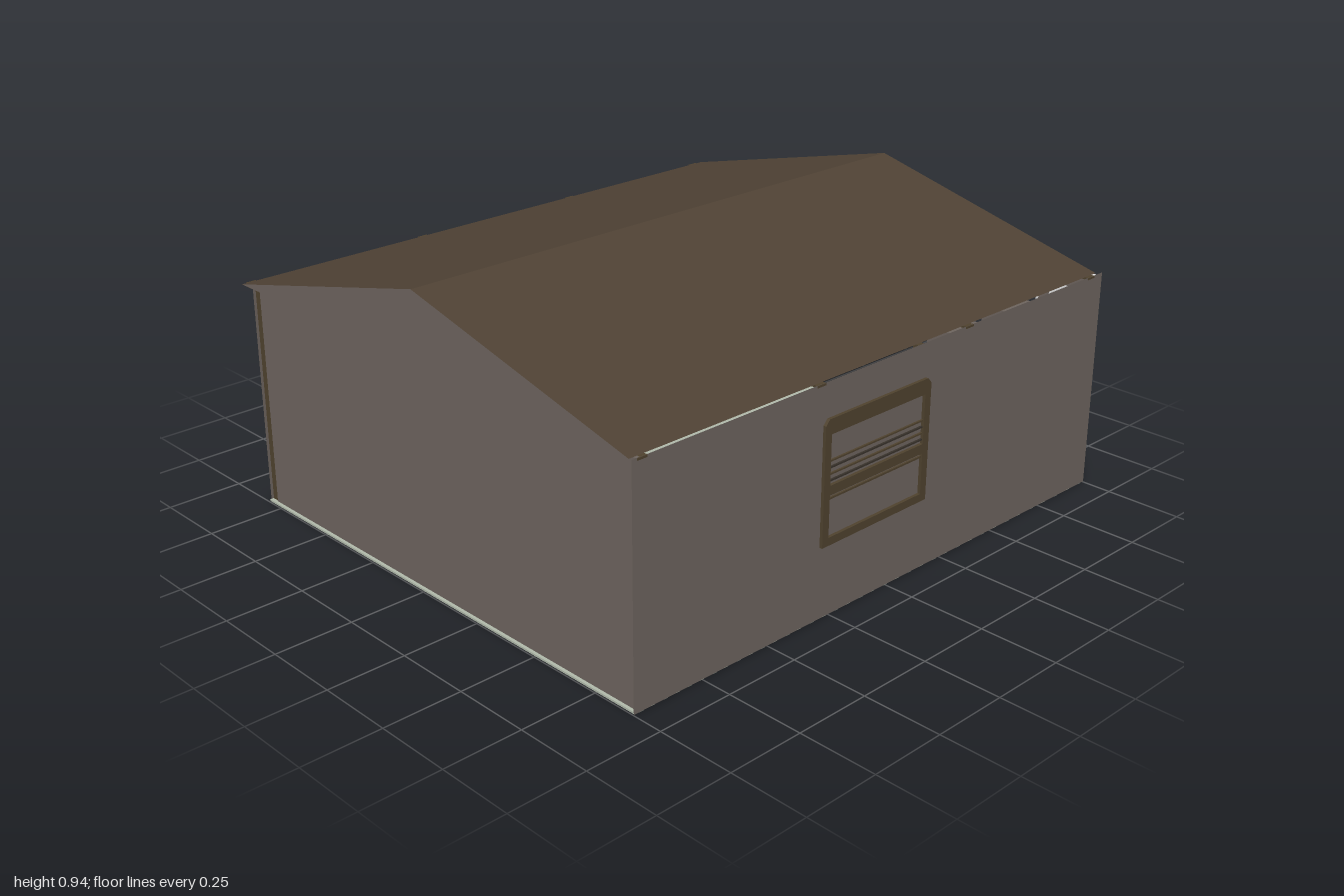
import * as THREE from 'three';

const M = (name, color, side = THREE.FrontSide) => {
  const m = new THREE.MeshStandardMaterial({ color, side });
  m.name = name;
  return m;
};

export function createModel() {
  const root = new THREE.Group();
  root.name = 'garage';
  const white = M('white', 0xe2e2e2), gray = M('wall gray', 0x6d645e, THREE.DoubleSide), roofBrown = M('roof brown', 0x4f4234),
    trim = M('trim brown', 0x4f422e), cork = M('cork', 0xac9e76), sage = M('sage', 0xb0b9aa, THREE.DoubleSide),
    blue = M('pale blue', 0xa8b7c0, THREE.DoubleSide), dark = M('dark', 0x38322b), tan = M('tan', 0xb69f6c);

  const group = (name) => {
    const g = new THREE.Group();
    g.name = name;
    root.add(g);
    return g;
  };
  const add = (parent, name, geo, mat) => {
    const m = new THREE.Mesh(geo, mat);
    m.name = name;
    parent.add(m);
    return m;
  };
  // box given by its limits on each axis
  const box = (p, name, mat, x0, x1, y0, y1, z0, z1) => {
    const m = add(p, name, new THREE.BoxGeometry(x1 - x0, y1 - y0, z1 - z0), mat);
    m.position.set((x0 + x1) / 2, (y0 + y1) / 2, (z0 + z1) / 2);
    return m;
  };
  const shapeOf = (pts) => new THREE.Shape(pts.map(([a, b]) => new THREE.Vector2(a, b)));
  // flat upright sheet of [x, y] points at depth z
  const sheet = (p, name, mat, shape, z) => {
    const m = add(p, name, new THREE.ShapeGeometry(shape), mat);
    m.position.z = z;
    return m;
  };
  // outline of [z, y] points extruded along x from x0 to x1
  const profile = (p, name, mat, pts, x0, x1) => {
    const g = new THREE.ExtrudeGeometry(shapeOf(pts.map(([z, y]) => [-z, y])), { depth: x1 - x0, bevelEnabled: false });
    g.rotateY(Math.PI / 2).translate(x0, 0, 0);
    return add(p, name, g, mat);
  };
  const rod = (p, name, mat, a, b, r) => {
    const A = new THREE.Vector3(...a), B = new THREE.Vector3(...b);
    const m = add(p, name, new THREE.CylinderGeometry(r, r, A.distanceTo(B), 6), mat);
    m.position.copy(A).add(B).multiplyScalar(0.5);
    m.quaternion.setFromUnitVectors(new THREE.Vector3(0, 1, 0), B.sub(A).normalize());
    return m;
  };
  // disc facing +x
  const disc = (p, name, mat, x, y, z, r, t = 0.01) => {
    const m = add(p, name, new THREE.CylinderGeometry(r, r, t, 20), mat);
    m.rotation.z = -Math.PI / 2;
    m.position.set(x, y, z);
    return m;
  };

  // floor, thin walls and gables
  const shell = group('shell');
  box(shell, 'floor', sage, -0.995, 0.985, 0, 0.006, -0.82, 0.898);
  sheet(shell, 'frontWall', gray, shapeOf([[-1, 0.002], [1, 0.002], [1, 0.725], [-1, 0.725]]), 0.9);
  const back = shapeOf([[-0.99, 0.006], [0.975, 0.006], [0.975, 0.732], [-0.99, 0.732]]);
  back.holes.push(shapeOf([[0.4, 0.22], [0.4, 0.57], [0.74, 0.57], [0.74, 0.22]]));
  sheet(shell, 'backWall', gray, back, -0.82);
  const apex = [[-0.79, 0.725], [-0.74, 0.725], [0.02, 0.915], [0.76, 0.725], [0.899, 0.725]];
  profile(shell, 'closedGable', gray, [[0.899, 0.005], [-0.79, 0.005], ...apex], -0.985, -0.972);
  profile(shell, 'doorGable', white, [[0.899, 0.005], [0.69, 0.005], [0.69, 0.675], [-0.575, 0.675],
    [-0.575, 0.005], [-0.79, 0.005], ...apex], 0.958, 0.97);
  for (const x of [-0.97, 0.95]) box(shell, 'cornerStud', trim, x - 0.012, x + 0.012, 0.006, 0.725, -0.818, -0.791);
  for (const [z0, z1] of [[0.705, 0.738], [-0.622, -0.585]])
    box(shell, 'doorTrack', gray, 0.95, 0.982, 0, 0.68, z0, z1);
  box(shell, 'doorLintel', gray, 0.935, 0.957, 0.676, 0.715, -0.79, 0.88);

  // pitched roof with gray end faces
  profile(group('roof'), 'roofSlabs', [gray, roofBrown], [[0.89, 0.725], [0.02, 0.938], [-0.865, 0.725],
    [-0.74, 0.725], [0.02, 0.912], [0.76, 0.725]], -1, 0.98);
  const rafters = group('rafters');
  for (const x of [-0.965, -0.31, 0.33, 0.94]) {
    profile(rafters, 'rafterPair', gray, [[0.76, 0.725], [0.02, 0.911], [-0.74, 0.725], [-0.74, 0.698],
      [0.02, 0.884], [0.76, 0.698]], x - 0.015, x + 0.015);
    box(rafters, 'backTail', trim, x - 0.017, x + 0.017, 0.712, 0.7245, -0.872, -0.74);
    box(rafters, 'frontTail', trim, x - 0.017, x + 0.017, 0.718, 0.7245, 0.76, 0.902);
  }

  // front window with chamfered frame and blinds
  const win = group('frontWindow');
  const frame = shapeOf([[-0.297, 0.23], [0.153, 0.23], [0.153, 0.6], [0.138, 0.617], [-0.282, 0.617], [-0.297, 0.6]]);
  for (const [a, b] of [[0.255, 0.385], [0.415, 0.57]])
    frame.holes.push(shapeOf([[-0.272, a], [-0.272, b], [0.128, b], [0.128, a]]));
  add(win, 'windowFrame', new THREE.ExtrudeGeometry(frame, { depth: 0.01, bevelEnabled: false }), trim).position.z = 0.9;
  for (let i = 0; i < 4; i++) box(win, 'blind', i % 2 ? trim : dark, -0.272, 0.128, 0.425 + i * 0.02, 0.43 + i * 0.02, 0.899, 0.906);
  box(win, 'lowerBlind', trim, -0.272, 0.128, 0.37, 0.376, 0.899, 0.906);

  // rear window frame
  const rear = group('rearWindow');
  for (const x of [0.4, 0.57, 0.74]) box(rear, 'upright', trim, x - 0.014, x + 0.014, 0.2, 0.59, -0.819, -0.785);
  for (const y of [0.215, 0.4, 0.575]) box(rear, 'crossbar', trim, 0.386, 0.754, y - 0.014, y + 0.014, -0.819, -0.787);

  // flat painted scenery sheet standing behind the rear window
  const scene = group('sceneryPanel');
  const cloudEdge = [[0.155, 0.255], [0.23, 0.28], [0.265, 0.33], [0.265, 0.5], [0.23, 0.54]];
  const skyEdge = [[0.495, 0.61], [0.495, 0.29], [0.53, 0.255], [0.95, 0.255]];
  sheet(scene, 'land', sage, shapeOf([[0.155, 0.05], ...cloudEdge, [0.37, 0.54], [0.37, 0.61], ...skyEdge, [0.95, 0.05]]), -0.91);
  sheet(scene, 'sky', blue, shapeOf([...skyEdge, [0.95, 0.545], [0.76, 0.545], [0.76, 0.61]]), -0.91);
  sheet(scene, 'sky', blue, shapeOf([...cloudEdge, [0.155, 0.54]]), -0.91);

  // pin board with papers and strings
  const board = group('pinBoard');
  const W = -0.972;
  box(board, 'boardBack', cork, W, W + 0.012, 0.285, 0.645, 0.18, 0.69);
  for (const y of [0.305, 0.62]) box(board, 'boardLine', trim, W, W + 0.014, y, y + 0.003, 0.2, 0.69);
  box(board, 'boardLine', trim, W, W + 0.014, 0.305, 0.62, 0.2, 0.203);
  const papers = [[0.48, 0.575, 0.545, 0.59, white], [0.33, 0.447, 0.49, 0.575, white], [0.51, 0.6, 0.36, 0.49, white],
    [0.27, 0.34, 0.425, 0.5, white], [0.315, 0.4, 0.37, 0.42, sage], [0.4, 0.467, 0.357, 0.44, tan], [0.64, 0.69, 0.415, 0.547, tan]];
  for (const [z0, z1, y0, y1, mat] of papers) {
    box(board, 'paper', mat, W + 0.012, W + 0.016, y0, y1, z0, z1);
    for (let i = 1; i < 4; i++) {
      const y = y0 + (y1 - y0) * i / 5;
      if (mat === white) box(board, 'textLine', dark, W + 0.016, W + 0.018, y, y + 0.004, z0 + 0.02, z1 - 0.03);
    }
  }
  const hub = [W + 0.022, 0.435, 0.35];
  for (const [z, y] of [[0.575, 0.474], [0.505, 0.562], [0.365, 0.552], [0.262, 0.577], [0.29, 0.49], [0.425, 0.528]]) {
    rod(board, 'string', dark, hub, [W + 0.022, y, z], 0.003);
    disc(board, 'pin', dark, W + 0.022, y, z, 0.007);
  }

  // workbench
  const bench = group('workbench');
  box(bench, 'cabinet', trim, W, -0.66, 0.006, 0.2, 0.08, 0.625);
  box(bench, 'sideCabinet', trim, W, -0.68, 0.006, 0.19, 0.625, 0.88);
  box(bench, 'counter', blue, W, -0.645, 0.2, 0.215, 0.08, 0.88);
  for (const [z0, z1, mat] of [[0.51, 0.605, gray], [0.14, 0.325, gray], [0.42, 0.485, dark]])
    box(bench, 'cabinetDoor', mat, -0.66, -0.652, 0.025, 0.17, z0, z1);
  box(bench, 'doorSplit', trim, -0.653, -0.65, 0.025, 0.17, 0.23, 0.234);
  for (const z of [0.255, 0.21, 0.525]) box(bench, 'handle', white, -0.652, -0.645, 0.14, 0.155, z, z + 0.015);
  for (const y of [0.115, 0.15]) box(bench, 'socket', white, -0.66, -0.652, y, y + 0.025, 0.36, 0.392);
  box(bench, 'storageBox', sage, -0.95, -0.83, 0.215, 0.278, 0.39, 0.585);
  box(bench, 'carton', tan, -0.9, -0.78, 0.24, 0.34, 0.645, 0.76);
  rod(bench, 'lampArm', dark, [-0.85, 0.22, 0.65], [-0.85, 0.47, 0.69], 0.006);

  // old stove with a rounded upright back
  const stove = group('stove');
  box(stove, 'stoveBody', gray, W, -0.72, 0.006, 0.185, -0.165, 0.05);
  profile(stove, 'stoveTop', sage, [[0.07, 0.185], [0.07, 0.29], [0.062, 0.31], [0.045, 0.32], [-0.145, 0.32], [-0.162, 0.31],
    [-0.17, 0.29], [-0.17, 0.185]], W, -0.74);
  box(stove, 'ovenOpening', dark, -0.72, -0.715, 0.1, 0.18, -0.14, 0.03);
  box(stove, 'ovenWindow', gray, -0.715, -0.71, 0.105, 0.165, -0.125, 0.015);
  box(stove, 'ovenLatch', white, -0.715, -0.708, 0.07, 0.095, -0.07, -0.03);
  box(stove, 'drawerLine', dark, -0.72, -0.715, 0.045, 0.05, -0.15, 0.035);
  box(stove, 'backHandle', gray, -0.74, -0.73, 0.277, 0.282, -0.15, 0.05);
  disc(stove, 'dial', gray, -0.735, 0.27, -0.05, 0.015);

  // washer and dryer
  for (const [name, z0, z1, mat] of [['washer', -0.465, -0.195, tan], ['dryer', -0.745, -0.475, sage]]) {
    const g = group(name);
    box(g, 'body', sage, W, -0.7, 0.006, 0.245, z0, z1);
    box(g, 'controlPanel', mat, W, -0.85, 0.245, 0.3, z0, z1);
    box(g, 'kickPlate', gray, -0.7, -0.694, 0.008, 0.045, z0 + 0.02, z1 - 0.02);
    const dialZ = mat === tan ? z1 - 0.085 : z1 - 0.045;
    disc(g, 'dialRim', dark, -0.85, 0.272, dialZ, 0.024);
    disc(g, 'dial', mat === tan ? sage : white, -0.848, 0.272, dialZ, 0.02);
    for (let i = 0; i < 6; i++) {
      const z = z1 - 0.18 - (i % 3) * 0.018, y = i < 3 ? 0.262 : 0.282;
      box(g, 'button', dark, -0.85, -0.844, y, y + 0.008, z - 0.008, z);
    }
  }

  // clock and note
  const clock = group('clock');
  disc(clock, 'clockRim', gray, -0.965, 0.58, -0.047, 0.058, 0.02);
  disc(clock, 'clockFace', sage, -0.962, 0.58, -0.047, 0.05, 0.02);
  box(clock, 'note', blue, W, W + 0.008, 0.485, 0.515, -0.095, 0.008);

  // ceiling lamp
  const lamp = group('ceilingLamp');
  box(lamp, 'lampHousing', gray, 0.1, 0.25, 0.635, 0.668, -0.225, 0.305);
  box(lamp, 'lampShade', gray, 0.09, 0.26, 0.615, 0.633, -0.23, 0.31);
  box(lamp, 'lampSeam', dark, 0.095, 0.255, 0.631, 0.637, -0.228, 0.308);
  for (const z of [-0.15, 0.23]) rod(lamp, 'hanger', dark, [0.175, 0.668, z], [0.175, 0.85, z], 0.004);

  // shelves, boxes and tools along the rear wall, and a shelf unit by the front wall
  const store = group('storage');
  for (const [x0, z0, z1, ys] of [[-0.35, -0.81, -0.69, [0.4]], [0.25, 0.76, 0.89, [0.2, 0.4, 0.6]]]) {
    for (const dx of [0, 0.25, 0.475]) for (const z of [z0, z1 - 0.02])
      box(store, 'shelfPost', trim, x0 + dx, x0 + dx + 0.025, 0.006, 0.65, z, z + 0.02);
    for (const y of ys) {
      box(store, 'shelf', trim, x0, x0 + 0.5, y, y + 0.015, z0, z1);
      for (const dx of [0.04, 0.3]) box(store, 'shelfBox', gray, x0 + dx, x0 + dx + 0.13, y + 0.015, y + 0.1, z0 + 0.02, z1 - 0.02);
    }
  }
  box(store, 'floorBox', trim, 0.62, 0.76, 0.006, 0.1, -0.8, -0.68);
  box(store, 'floorBox', tan, 0.47, 0.57, 0.006, 0.08, -0.8, -0.7);
  add(store, 'ball', new THREE.SphereGeometry(0.045, 14, 10), gray).position.set(0.36, 0.051, -0.74);
  for (const x of [0.82, 0.88]) rod(store, 'toolHandle', dark, [x, 0.02, -0.75], [x, 0.55, -0.8], 0.008);
  return root;
}
